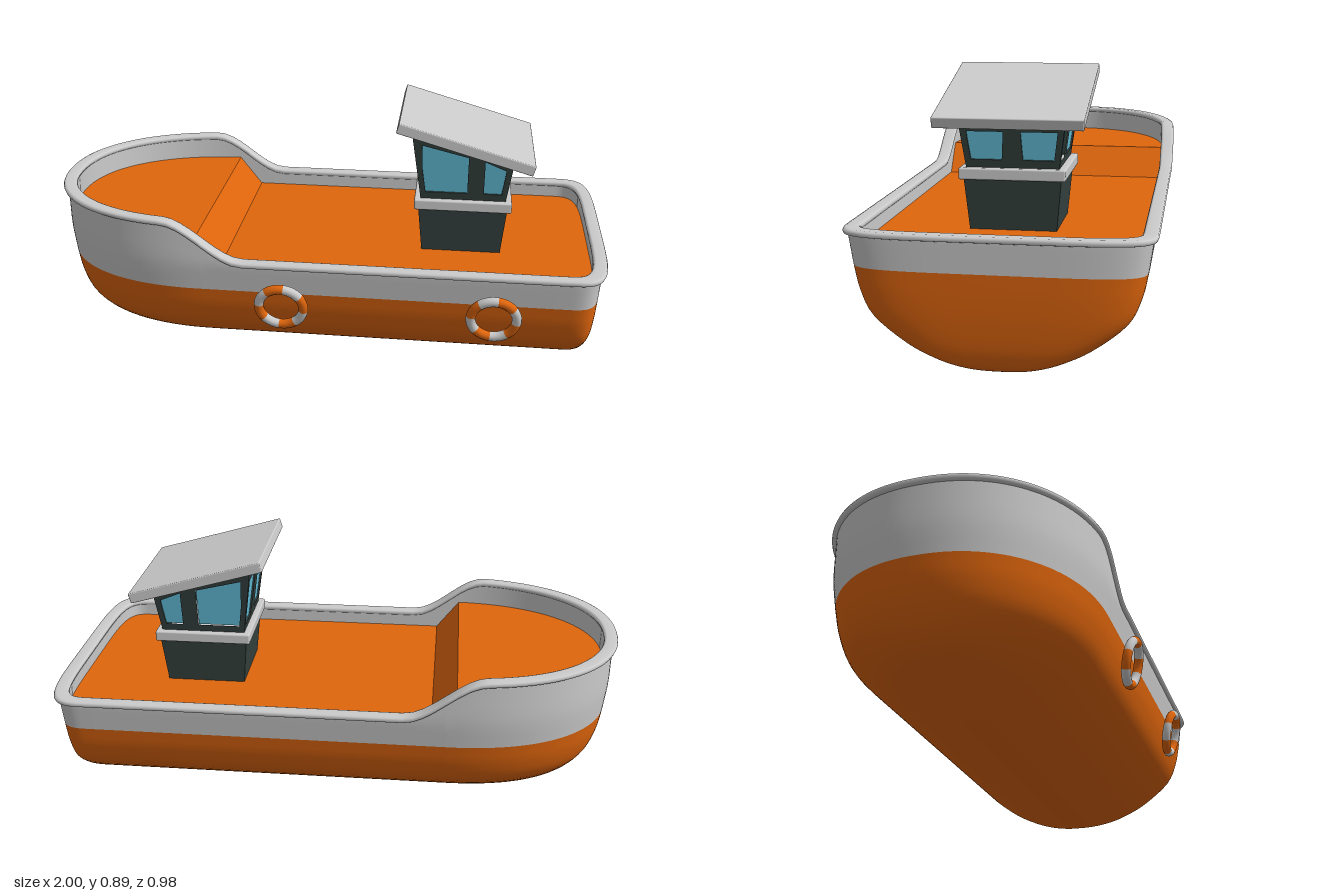
import * as THREE from 'three';
import { mergeVertices } from 'three/addons/utils/BufferGeometryUtils.js';
import { RoundedBoxGeometry } from 'three/addons/geometries/RoundedBoxGeometry.js';

const mat = (color, extra = {}) => new THREE.MeshStandardMaterial({ color, ...extra });
const grey = mat(0xcccccc), orange = mat(0xe0660d), dark = mat(0x35423f, { flatShading: true });
const glass = mat(0x66c4e0), greyOpen = mat(0xcccccc, { side: THREE.DoubleSide });
const orangeOpen = mat(0xe0660d, { side: THREE.DoubleSide });

const BOW = -0.4, STERN = 0.82;      // ends of the straight sides
const BOW_N = 2.2, STERN_N = 5;      // roundness of bow and stern
const MID_Z = -0.0125;
const WATERLINE = 0.33, DECK = 0.385, FOREDECK = 0.495;

function addMesh(parent, name, geometry, material, x = 0, y = 0, z = 0) {
  const mesh = new THREE.Mesh(geometry, material);
  mesh.name = name;
  mesh.position.set(x, y, z);
  parent.add(mesh);
  return mesh;
}

// Height of the rail top: high bow, S-curve, low sides
const sheer = x => 0.59 - 0.142 * THREE.MathUtils.smoothstep(x, -0.53, -0.25);

// Closed plan outline: round bow, straight sides, squarish stern
function outline(w, xb, xs) {
  const half = [], n = 24;
  for (let k = 0; k <= n; k++) {
    const a = k / n * Math.PI / 2;
    half.push([STERN + (xs - STERN) * Math.max(0, Math.cos(a)) ** (2 / STERN_N), w * Math.sin(a) ** (2 / STERN_N)]);
  }
  for (let k = 1; k <= n; k++) half.push([BOW + (STERN - BOW) * (1 - k / n) ** 1.5, w]);
  for (let k = 1; k <= 32; k++) {
    const a = k / 32 * Math.PI / 2;
    half.push([BOW + (xb - BOW) * Math.sin(a) ** (2 / BOW_N), w * Math.max(0, Math.cos(a)) ** (2 / BOW_N)]);
  }
  const other = half.slice(1, -1).reverse().map(([x, z]) => [x, -z]);
  return [...half, ...other];
}

// Skin over a list of equal-length closed rings
function loft(rings) {
  const n = rings[0].length, index = [];
  for (let j = 0; j < rings.length - 1; j++) {
    for (let i = 0; i < n; i++) {
      const a = j * n + i, b = j * n + (i + 1) % n;
      index.push(a, a + n, b, b, a + n, b + n);
    }
  }
  let g = new THREE.BufferGeometry();
  g.setAttribute('position', new THREE.Float32BufferAttribute(rings.flat(2), 3));
  g.setIndex(index);
  g = mergeVertices(g, 1e-5);
  g.computeVertexNormals();
  return g;
}

// Lower hull from slices: height, half width, bow x, stern x
function hullGeometry() {
  const slices = [
    [0, 0, -0.42, 0.88], [0.005, 0.07, -0.48, 0.9], [0.02, 0.14, -0.64, 0.925],
    [0.045, 0.21, -0.765, 0.943], [0.09, 0.295, -0.865, 0.957], [0.17, 0.393, -0.93, 0.968],
    [0.25, 0.432, -0.96, 0.975], [WATERLINE, 0.45, -0.973, 0.979],
  ];
  const curve = new THREE.CubicInterpolant(slices.map((_, i) => i), slices.flat(), 4, new Float32Array(4));
  const rings = [];
  for (let k = 0; k <= 28; k++) {
    const [y, w, xb, xs] = curve.evaluate(k / 4);
    rings.push(outline(w, xb, xs).map(([x, z]) => [x, y, z]));
  }
  return loft(rings);
}

// Upper hull side, following the sheer
function bulwarkGeometry() {
  const top = outline(0.465, -0.98, 0.985), rings = [];
  for (let j = 0; j <= 6; j++) {
    rings.push(top.map(([x0], i) => {
      const y = THREE.MathUtils.lerp(WATERLINE, sheer(x0) - 0.012, j / 6);
      const f = Math.min(1, (y - WATERLINE) / 0.1);
      const [x, z] = bulwarkSlices[Math.round(f * 40)][i];
      return [x, y, z];
    }));
  }
  return loft(rings);
}
const bulwarkSlices = Array.from({ length: 41 }, (_, k) => {
  const f = k / 40;
  return outline(0.45 + 0.015 * f, -0.973 - 0.01 * f, 0.979 + 0.006 * f);
});

// Rounded rail: profile of [offset outwards, height below top]
function railGeometry() {
  const profile = [[0.016, -0.02], [0.022, -0.018], [0.025, -0.01], [0.022, -0.003], [0.015, 0],
    [-0.015, 0], [-0.022, -0.003], [-0.025, -0.01], [-0.022, -0.018], [-0.016, -0.02], [0.016, -0.02]];
  return loft(profile.map(([o, d]) =>
    outline(0.453 + o, -0.975 - o, 0.975 + o).map(([x, z]) => [x, sheer(x) + d, z])));
}

function innerWallGeometry() {
  const ring = outline(0.432, -0.954, 0.954);
  return loft([ring.map(([x, z]) => [x, sheer(x) - 0.01, z]), ring.map(([x, z]) => [x, DECK - 0.01, z])]);
}

// Deck strips across the boat, with a ramp up to the foredeck
function deckGeometry() {
  const w = 0.433, xb = -0.955, xs = 0.955, stations = [];
  for (let k = 0; k < 24; k++) stations.push(xb + (-0.43 - xb) * (1 - Math.cos(k / 24 * Math.PI / 2)));
  stations.push(-0.43, -0.345, STERN);
  for (let k = 1; k <= 16; k++) stations.push(STERN + (xs - STERN) * Math.sin(k / 16 * Math.PI / 2));
  const halfWidth = x => {
    const [n, r] = x < BOW ? [BOW_N, (BOW - x) / (BOW - xb)] : [STERN_N, Math.max(0, (x - STERN) / (xs - STERN))];
    return w * Math.max(0, 1 - r ** n) ** (1 / n);
  };
  const pos = [], index = [];
  stations.forEach((x, i) => {
    const y = x <= -0.43 ? FOREDECK : DECK, h = halfWidth(x), a = 2 * i;
    pos.push(x, y, h, x, y, -h);
    if (i) index.push(a - 2, a, a - 1, a, a + 1, a - 1);
  });
  const g = new THREE.BufferGeometry();
  g.setAttribute('position', new THREE.Float32BufferAttribute(pos, 3));
  g.setIndex(index);
  const flat = g.toNonIndexed();
  flat.computeVertexNormals();
  return flat;
}

// One leaning cabin wall with window holes and recessed panes
function cabinWall(name, corners, windows, turn, flip = 1) {
  const pts = list => list.map(([u, v]) => new THREE.Vector2(u * flip, v));
  const wall = new THREE.Group(), lean = new THREE.Group(), t = 0.02;
  const shape = new THREE.Shape(pts(corners));
  windows.forEach(win => shape.holes.push(new THREE.Path(pts(win))));
  const g = new THREE.ExtrudeGeometry(shape, { depth: t, bevelEnabled: false });
  addMesh(lean, name, g, dark, 0, 0, -t);
  windows.forEach(win => addMesh(lean, 'windowPane', new THREE.ShapeGeometry(new THREE.Shape(pts(win))), glass, 0, 0, -0.006));
  lean.rotation.x = Math.atan(0.14);
  lean.position.z = 0.15;
  wall.add(lean);
  wall.rotation.y = turn;
  wall.name = name;
  return wall;
}

function createCabin() {
  const cabin = new THREE.Group();
  cabin.name = 'cabin';
  cabin.position.set(0.493, 0, MID_Z);
  const base = new THREE.CylinderGeometry(0.158 * Math.SQRT2, 0.141 * Math.SQRT2, 0.18, 4).rotateY(Math.PI / 4);
  addMesh(cabin, 'cabinBase', base, dark, 0, 0.47, 0);
  addMesh(cabin, 'cabinBelt', new RoundedBoxGeometry(0.345, 0.038, 0.345, 2, 0.006), grey, 0, 0.57, 0);

  const walls = new THREE.Group();
  walls.name = 'wheelhouse';
  walls.position.y = 0.585;
  const side = [[-0.15, 0], [0.15, 0], [0.173, 0.165], [-0.186, 0.262]];
  const sideWindows = [
    [[-0.142, 0.03], [0.014, 0.03], [0.014, 0.172], [-0.15, 0.214]],
    [[0.072, 0.03], [0.138, 0.03], [0.146, 0.126], [0.072, 0.158]],
  ];
  walls.add(cabinWall('sideWall', side, sideWindows, 0), cabinWall('sideWall', side, sideWindows, Math.PI, -1));
  for (const [name, top, half, winTop, winHalf, turn] of [
    ['aftWall', 0.165, 0.173, 0.123, 0.146, Math.PI / 2],
    ['forwardWall', 0.262, 0.186, 0.212, 0.154, -Math.PI / 2],
  ]) {
    const windows = [1, -1].map(s =>
      [[0.034 * s, 0.03], [0.138 * s, 0.03], [winHalf * s, winTop], [0.028 * s, winTop]]);
    walls.add(cabinWall(name, [[-0.15, 0], [0.15, 0], [half, top], [-half, top]], windows, turn));
  }
  cabin.add(walls);

  const roof = addMesh(cabin, 'roof', new RoundedBoxGeometry(0.49, 0.037, 0.48, 2, 0.004), grey, 0.002, 0.808, 0.0025);
  roof.rotation.z = -0.28;
  return cabin;
}

// Ring of eight alternating coloured arcs
function createLifebuoy(x, first) {
  const buoy = new THREE.Group();
  buoy.name = 'lifebuoy';
  for (let k = 0; k < 8; k++) {
    const arc = new THREE.TorusGeometry(0.078, 0.017, 12, 8, Math.PI / 4);
    addMesh(buoy, 'lifebuoyArc', arc, (k + first) % 2 ? orange : grey).rotation.z = k * Math.PI / 4 - 0.14;
  }
  buoy.rotation.x = 0.24;
  buoy.position.set(x, 0.285, 0.452);
  return buoy;
}

export function createModel() {
  const boat = new THREE.Group();
  boat.name = 'boat';
  addMesh(boat, 'lowerHull', hullGeometry(), orange, 0, 0, MID_Z);
  addMesh(boat, 'bulwark', bulwarkGeometry(), greyOpen, 0, 0, MID_Z);
  addMesh(boat, 'innerBulwark', innerWallGeometry(), greyOpen, 0, 0, MID_Z);
  addMesh(boat, 'rail', railGeometry(), grey, 0, 0, MID_Z);
  addMesh(boat, 'deck', deckGeometry(), orangeOpen, 0, 0, MID_Z);
  boat.add(createCabin(), createLifebuoy(-0.115, 1), createLifebuoy(0.615, 0));
  return boat;
}
